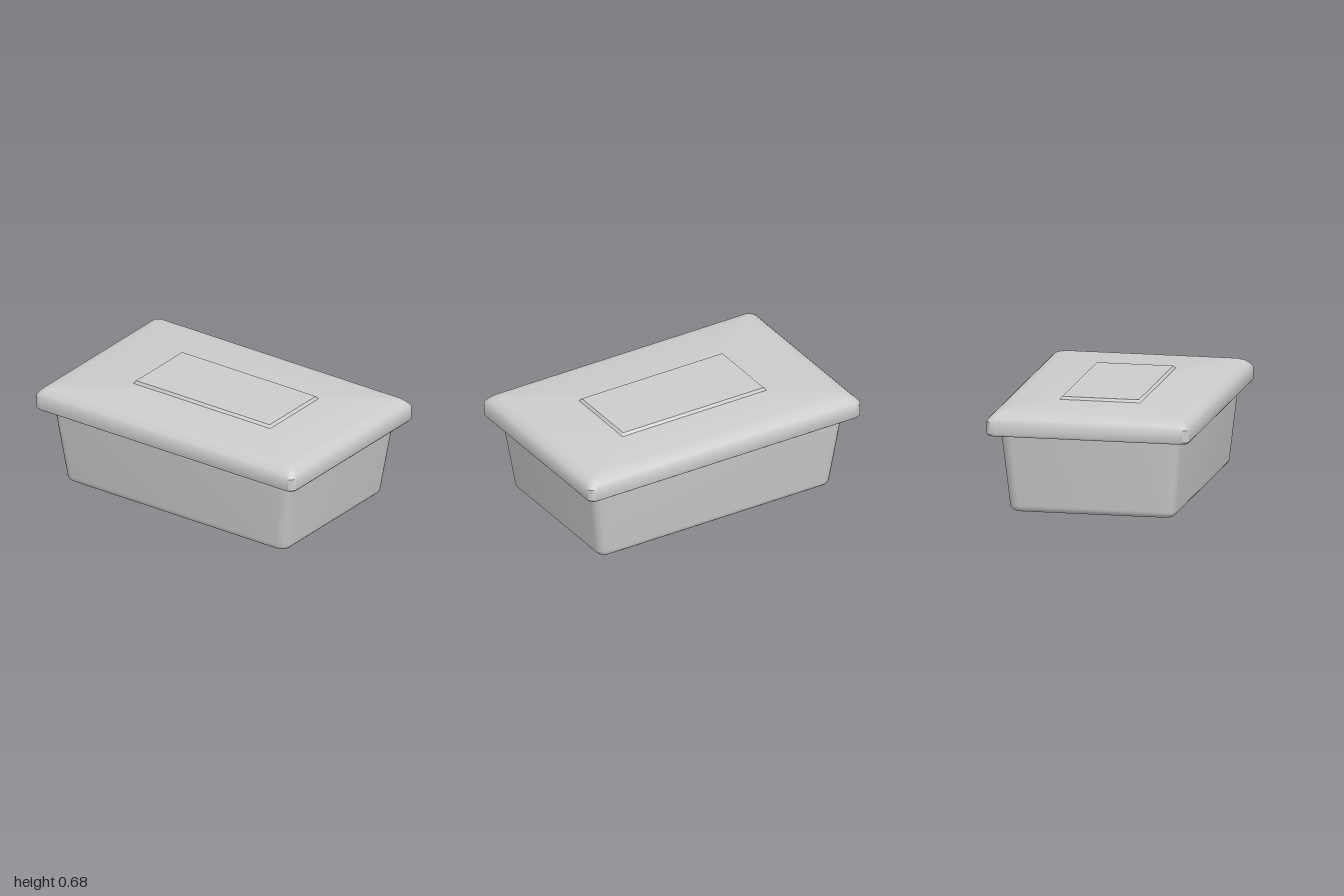
import * as THREE from 'three';
import { toCreasedNormals } from 'three/addons/utils/BufferGeometryUtils.js';

const material = new THREE.MeshStandardMaterial({ color: 0xcccccc });
const CORNER_STEPS = 5;

// One horizontal rounded rectangle, counter-clockwise from above
function roundedRing([hx, hz, y, r]) {
  const points = [];
  for (let corner = 0; corner < 4; corner++) {
    const sx = corner === 0 || corner === 3 ? 1 : -1;
    const sz = corner < 2 ? -1 : 1;
    for (let i = 0; i <= CORNER_STEPS; i++) {
      const a = (corner + i / CORNER_STEPS) * Math.PI / 2;
      points.push([sx * (hx - r) + r * Math.cos(a), y, sz * (hz - r) - r * Math.sin(a)]);
    }
  }
  return points;
}

// Skin a list of [halfX, halfZ, y, cornerRadius] sections; a zero size closes the end
function loft(name, sections) {
  const rings = sections.map(roundedRing);
  const positions = [];
  for (let k = 0; k < rings.length - 1; k++) {
    const low = rings[k], high = rings[k + 1], n = low.length;
    for (let j = 0; j < n; j++) {
      const m = (j + 1) % n;
      if (sections[k][0] > 0) positions.push(...low[j], ...low[m], ...high[m]);
      if (sections[k + 1][0] > 0) positions.push(...low[j], ...high[m], ...high[j]);
    }
  }
  const geometry = new THREE.BufferGeometry();
  geometry.setAttribute('position', new THREE.Float32BufferAttribute(positions, 3));
  const mesh = new THREE.Mesh(toCreasedNormals(geometry, 0.74), material);
  mesh.name = name;
  return mesh;
}

export function createModel() {
  const group = new THREE.Group();
  group.name = 'lidded storage box';

  // Tapered tub: recessed base panel, rounded foot, flared wall, hollow inside
  const foot = [];
  for (let i = 0; i <= 5; i++) {
    const a = i / 5 * Math.PI / 2;
    const out = 0.045 * Math.sin(a);
    foot.push([0.808 + out, 0.484 + out, 0.045 * (1 - Math.cos(a)), 0.035 + out * 0.7]);
  }
  group.add(loft('tub', [
    [0, 0, 0.02, 0],
    [0.59, 0.31, 0.02, 0.004],
    [0.605, 0.325, 0, 0.006],
    ...foot,
    [0.922, 0.572, 0.515, 0.07],
    [0.934, 0.579, 0.6, 0.07],
    [0.91, 0.555, 0.6, 0.05],
    [0.83, 0.505, 0.05, 0.05],
    [0, 0, 0.05, 0],
  ]));

  // Overhanging lid: hollow underside, thin rim, softly bevelled top
  group.add(loft('lid', [
    [0, 0, 0.6, 0],
    [0.965, 0.61, 0.6, 0.03],
    [0.97, 0.615, 0.515, 0.03],
    [0.976, 0.621, 0.508, 0.036],
    [0.99, 0.635, 0.508, 0.045],
    [1, 0.645, 0.52, 0.05],
    [1, 0.645, 0.597, 0.05],
    [0.985, 0.63, 0.619, 0.05],
    [0.96, 0.605, 0.642, 0.045],
    [0.932, 0.577, 0.653, 0.04],
    [0.9, 0.545, 0.66, 0.03],
    [0, 0, 0.66, 0],
  ]));

  // Raised label panel on the lid
  const panel = loft('lidPanel', [
    [0.53, 0.258, 0.658, 0.004],
    [0.515, 0.243, 0.677, 0.003],
    [0, 0, 0.677, 0],
  ]);
  panel.position.set(0.004, 0, -0.015);
  group.add(panel);

  return group;
}
